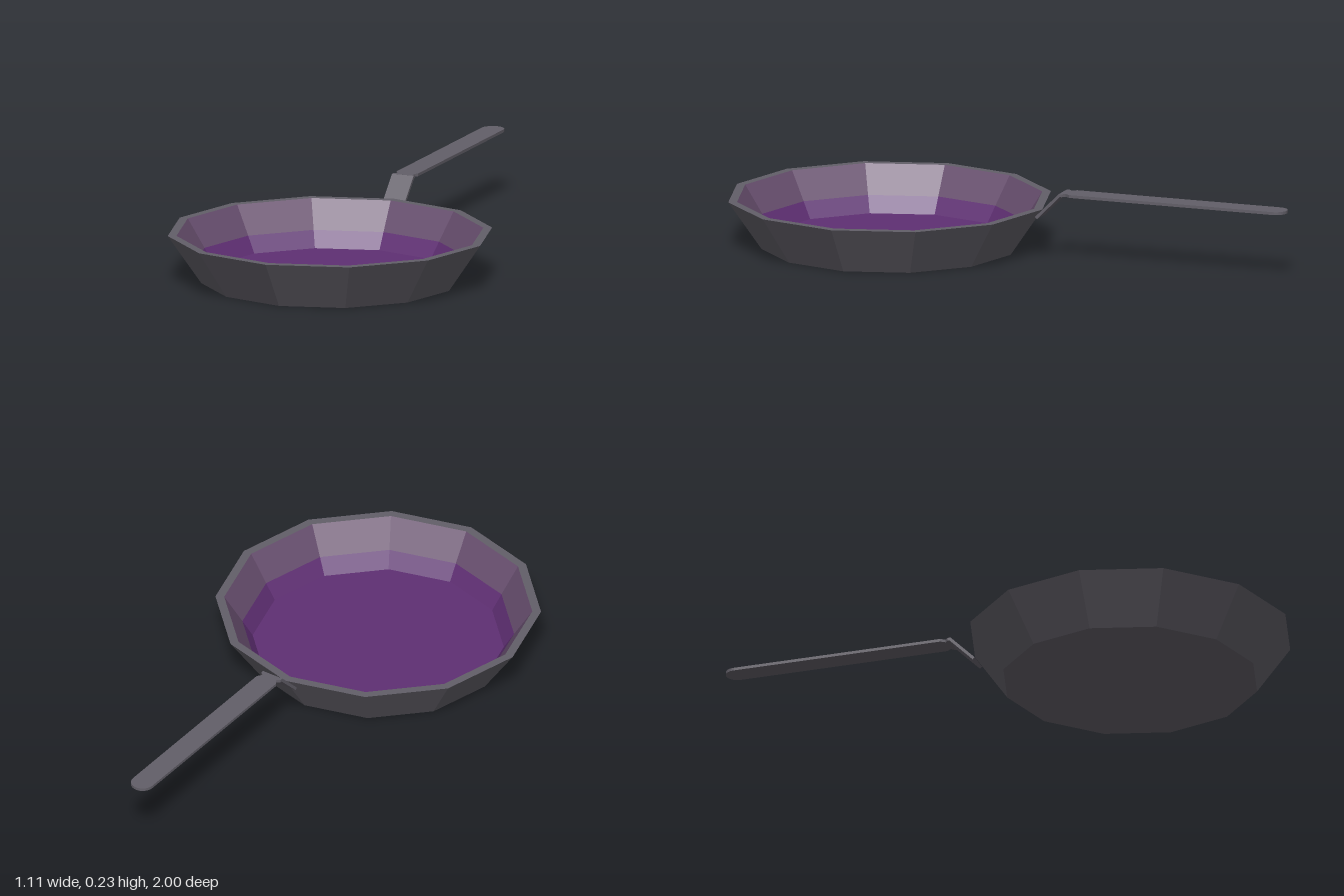
import * as THREE from 'three';

const paint = (name, color) => new THREE.MeshStandardMaterial({ name, color, flatShading: true });

export function createModel() {
  const iron = paint('dark grey iron', 0x625f68);
  const purple = paint('purple coating', 0x5f2f73);
  const mauve = paint('dull mauve wall', 0x674e6e);

  const model = new THREE.Group();
  model.name = 'fryingPan';
  const panZ = 0.445;

  const add = (name, geometry, material, x = 0, y = 0, z = 0) => {
    const mesh = new THREE.Mesh(geometry, material);
    mesh.name = name;
    mesh.position.set(x, y, z);
    model.add(mesh);
    return mesh;
  };

  // Twelve-sided ring from a radius/height profile
  const ring = (...profile) =>
    new THREE.LatheGeometry(profile.map(([r, y]) => new THREE.Vector2(r, y)), 12);

  // Pan: outside with rim, then the coated inside
  add('panBody', ring([0, 0], [0.44, 0], [0.555, 0.167], [0.525, 0.167]), iron, 0, 0, panZ);
  add('upperInnerWall', ring([0.525, 0.167], [0.463, 0.07]), mauve, 0, 0, panZ);
  add('cookingSurface', ring([0.463, 0.07], [0.428, 0.014], [0, 0.014]), purple, 0, 0, panZ);

  // Sloping neck between pan wall and handle
  const neck = add('neck', new THREE.BoxGeometry(0.08, 0.01, 0.122), iron, 0, 0.188, -0.145);
  neck.rotation.x = Math.PI / 4;

  // Flat handle with a small notch by the neck and a round end
  const outline = new THREE.Shape();
  outline.moveTo(-0.04, 0.185);
  outline.lineTo(0.04, 0.185);
  outline.lineTo(0.04, 0.195);
  outline.lineTo(0.028, 0.206);
  outline.lineTo(0.04, 0.222);
  outline.lineTo(0.04, 0.96);
  outline.absarc(0, 0.96, 0.04, 0, Math.PI, false);
  outline.lineTo(-0.04, 0.222);
  outline.lineTo(-0.028, 0.206);
  outline.lineTo(-0.04, 0.195);
  outline.closePath();
  const slab = new THREE.ExtrudeGeometry(outline, { depth: 0.01, bevelEnabled: false, curveSegments: 8 });
  slab.rotateX(-Math.PI / 2);
  add('handle', slab, iron, 0, 0.225, 0);

  return model;
}
